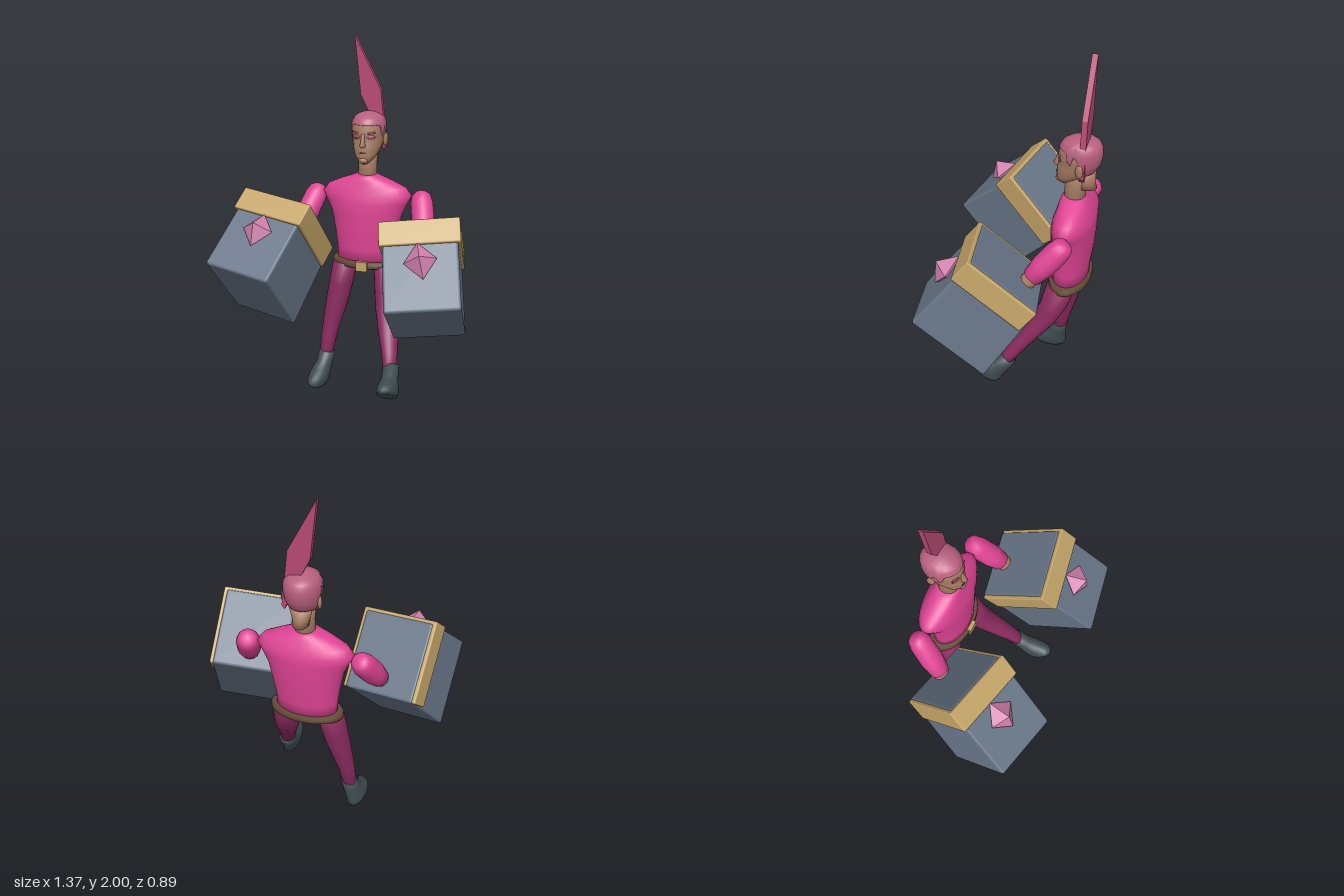
import * as THREE from 'three';
import { RoundedBoxGeometry } from 'three/addons/geometries/RoundedBoxGeometry.js';

const paint = (name, color) => {
  const m = new THREE.MeshStandardMaterial({ color });
  m.name = name;
  return m;
};

const V = (x, y, z) => new THREE.Vector3(x, y, z);

// Grid of points (rows bottom to top, wrapped around) to a smooth surface
function skinGrid(rows, n) {
  const pos = [], idx = [];
  rows.forEach(r => r.forEach(p => pos.push(p.x, p.y, p.z)));
  for (let i = 0; i < rows.length - 1; i++) {
    for (let j = 0; j < n; j++) {
      const k = (j + 1) % n;
      const a = i * n + j, b = i * n + k, c = a + n, d = b + n;
      idx.push(a, b, d, a, d, c);
    }
  }
  const g = new THREE.BufferGeometry();
  g.setAttribute('position', new THREE.Float32BufferAttribute(pos, 3));
  g.setIndex(idx);
  g.computeVertexNormals();
  return g;
}

// Stack of horizontal ellipses [cx, y, cz, halfX, halfZ], closed at both ends
function loft(rows, n = 20) {
  const first = rows[0], last = rows[rows.length - 1];
  const all = [[first[0], first[1], first[2], 0, 0], ...rows, [last[0], last[1], last[2], 0, 0]];
  return skinGrid(all.map(([cx, y, cz, hx, hz]) => Array.from({ length: n }, (_, j) => {
    const t = j / n * Math.PI * 2;
    return V(cx + hx * Math.sin(t), y, cz + hz * Math.cos(t));
  })), n);
}

// Head sections: y, front z, back z, half width
const HEAD = [
  [1.315, -0.225, -0.28, 0.018], [1.33, -0.212, -0.3, 0.036], [1.36, -0.208, -0.34, 0.06],
  [1.4, -0.208, -0.4, 0.077], [1.45, -0.218, -0.428, 0.087], [1.49, -0.214, -0.437, 0.092],
  [1.53, -0.222, -0.437, 0.09], [1.56, -0.242, -0.423, 0.077], [1.577, -0.272, -0.396, 0.055], [1.587, -0.31, -0.355, 0.02]];

function headAt(y) {
  let i = 0;
  while (i < HEAD.length - 2 && HEAD[i + 1][0] < y) i++;
  const p = HEAD[i], q = HEAD[i + 1];
  const t = THREE.MathUtils.clamp((y - p[0]) / (q[0] - p[0]), 0, 1);
  const [f, b, w] = [1, 2, 3].map(k => p[k] + (q[k] - p[k]) * t);
  return { cz: (f + b) / 2, hz: (f - b) / 2, hx: w };
}

export function createModel() {
  const model = new THREE.Group();
  model.name = 'fighter';
  const shirt = paint('shirt pink', 0xdf4494), pants = paint('trouser plum', 0x8c2c60);
  const boot = paint('boot slate', 0x3f4d50), steel = paint('gauntlet grey', 0x687688);
  const gold = paint('gold trim', 0xc4a468), leather = paint('belt brown', 0x644c38);
  const skin = paint('skin', 0xa97f66), hair = paint('hair pink', 0xb8607e);
  const crestMat = paint('crest pink', 0xb84a72), gemMat = paint('gem pink', 0xd080ac);
  gemMat.flatShading = true;

  const add = (name, geo, mat, parent = model, x = 0, y = 0, z = 0) => {
    const m = new THREE.Mesh(geo, mat);
    m.name = name;
    m.position.set(x, y, z);
    parent.add(m);
    return m;
  };
  const blob = (name, mat, x, y, z, sx, sy, sz) => {
    const m = add(name, new THREE.SphereGeometry(1, 14, 10), mat, model, x, y, z);
    m.scale.set(sx, sy, sz);
    return m;
  };

  // Torso, belt and buckle
  add('torso', loft([
    [0, 0.73, -0.3, 0.165, 0.095], [0, 0.82, -0.3, 0.17, 0.1], [0, 0.92, -0.305, 0.185, 0.11],
    [0, 1.02, -0.308, 0.205, 0.113], [0, 1.09, -0.31, 0.237, 0.112], [0, 1.135, -0.314, 0.258, 0.106],
    [0, 1.175, -0.312, 0.228, 0.09], [0, 1.21, -0.308, 0.15, 0.078], [0, 1.235, -0.305, 0.08, 0.066],
    [0, 1.247, -0.305, 0.055, 0.058]], 28), shirt);
  add('belt', loft([[0, 0.712, -0.3, 0.185, 0.098], [0, 0.72, -0.3, 0.2, 0.112], [0, 0.745, -0.3, 0.2, 0.112],
    [0, 0.755, -0.3, 0.185, 0.1]], 28), leather);
  add('buckle', new THREE.BoxGeometry(0.066, 0.055, 0.02), gold, model, 0.007, 0.732, -0.188);

  // Neck, nape and head
  add('neck', loft([[0.003, 1.2, -0.305, 0.054, 0.056], [0.003, 1.3, -0.308, 0.052, 0.056],
    [0.003, 1.4, -0.32, 0.058, 0.07]]), skin);
  add('nape', loft([[0.003, 1.305, -0.365, 0.04, 0.055], [0.003, 1.34, -0.36, 0.044, 0.05],
    [0.003, 1.4, -0.36, 0.06, 0.052]]), skin);
  const headRows = [];
  for (let i = 0; i <= 24; i++) {
    const y = 1.315 + 0.272 * i / 24, s = headAt(y);
    headRows.push([0.003, y, s.cz, s.hx, s.hz]);
  }
  add('head', loft(headRows, 28), skin);

  // Hair cap, with sideburns and a hairline that drops behind the ears
  const n = 48, hairRows = [];
  for (let i = 0; i <= 14; i++) {
    hairRows.push(Array.from({ length: n }, (_, j) => {
      const t = j / n * Math.PI * 2, c = Math.cos(t);
      const line = 1.395 + 0.135 * THREE.MathUtils.smoothstep(c, -0.45, 0.15)
        - 0.075 * Math.exp(-(((c - 0.3) / 0.14) ** 2));
      const y = line + (1.587 - line) * i / 14, s = headAt(y), g = i === 0 ? 0 : 0.005;
      return V(0.003 + (s.hx + g) * Math.sin(t), y + g * i / 14, s.cz + (s.hz + g) * c);
    }));
  }
  hairRows.push(Array.from({ length: n }, () => V(0.003, 1.594, -0.333)));
  add('hair', skinGrid(hairRows, n), hair);

  // Tall crest plate
  const crest = new THREE.Shape([[-0.085, 2], [-0.05, 1.68], [0, 1.58], [0.085, 1.38], [0.1, 1.4], [0.08, 1.57], [0.065, 1.71]]
    .map(p => new THREE.Vector2(...p)));
  add('crest', new THREE.ExtrudeGeometry(crest, { depth: 0.03, bevelEnabled: false }), crestMat, model, 0, 0, -0.372);

  // Face
  const faceZ = (x, y) => {
    const s = headAt(y);
    return s.cz + s.hz * Math.sqrt(1 - (x / s.hx) ** 2);
  };
  for (const s of [-1, 1]) {
    blob('ear', skin, 0.003 + s * 0.091, 1.44, -0.345, 0.011, 0.038, 0.022).rotation.y = -s * 0.3;
    blob('eyelid', crestMat, 0.003 + s * 0.042, 1.467, faceZ(0.042, 1.467), 0.024, 0.011, 0.005).rotation.y = s * 0.4;
    blob('pupil', boot, 0.003 + s * 0.042, 1.459, faceZ(0.042, 1.459) + 0.001, 0.014, 0.004, 0.005).rotation.y = s * 0.4;
    blob('eyebrow', hair, 0.003 + s * 0.045, 1.491, faceZ(0.045, 1.491), 0.026, 0.005, 0.005).rotation.set(0, s * 0.4, s * 0.12);
  }
  add('nose', loft([[0.003, 1.412, -0.213, 0.014, 0.014], [0.003, 1.421, -0.209, 0.017, 0.023],
    [0.003, 1.445, -0.213, 0.011, 0.015], [0.003, 1.485, -0.217, 0.009, 0.008]], 12), skin);
  blob('mouth', leather, 0.003, 1.38, faceZ(0, 1.38), 0.022, 0.004, 0.004);
  blob('chin', skin, 0.003, 1.338, -0.22, 0.026, 0.018, 0.018);

  // Legs: one planted, one swung forward
  add('leftLeg', loft([[0.235, 0.21, 0.005, 0.038, 0.042], [0.215, 0.3, -0.05, 0.045, 0.05], [0.187, 0.4, -0.12, 0.058, 0.06],
    [0.16, 0.5, -0.192, 0.068, 0.069], [0.142, 0.6, -0.243, 0.071, 0.075], [0.125, 0.73, -0.28, 0.07, 0.08]]), pants);
  add('rightLeg', loft([[-0.21, 0.16, -0.19, 0.038, 0.04], [-0.195, 0.3, -0.215, 0.047, 0.05], [-0.177, 0.4, -0.235, 0.057, 0.06],
    [-0.157, 0.5, -0.25, 0.066, 0.07], [-0.14, 0.6, -0.265, 0.07, 0.076], [-0.12, 0.73, -0.28, 0.07, 0.08]]), pants);

  // Boots
  const bootGeo = loft([[0, 0, 0.06, 0.048, 0.1], [0, 0.02, 0.06, 0.058, 0.11], [0, 0.05, 0.052, 0.056, 0.1],
    [0, 0.085, 0.028, 0.05, 0.074], [0, 0.12, 0.008, 0.046, 0.052], [0, 0.185, 0, 0.046, 0.046]]);
  add('leftBoot', bootGeo, boot, model, 0.257, 0.082, 0.085).rotation.set(-0.6, 0, 0.13);
  add('rightBoot', bootGeo, boot, model, -0.238, 0.008, -0.173).rotation.set(-0.1, 0, -0.2);

  // Arms: sleeve and bare wrist laid along a line
  const up = V(0, 1, 0);
  function arm(side, from, to) {
    const g = new THREE.Group();
    g.name = side + 'Arm';
    const dir = to.clone().sub(from), len = dir.length();
    g.position.copy(from);
    g.quaternion.setFromUnitVectors(up, dir.normalize());
    model.add(g);
    add(side + 'Sleeve', loft([[0, -0.055, 0, 0.034, 0.034], [0, -0.035, 0, 0.053, 0.053], [0, 0.01, 0, 0.063, 0.063],
      [0, len * 0.5, 0, 0.064, 0.064], [0, len * 0.86, 0, 0.052, 0.052]], 14), shirt, g);
    add(side + 'Wrist', new THREE.CylinderGeometry(0.042, 0.045, 0.1, 14), skin, g, 0, len * 0.9, 0);
  }
  arm('left', V(0.315, 1.105, -0.315), V(0.372, 0.92, -0.17));
  arm('right', V(-0.305, 1.1, -0.315), V(-0.362, 0.91, -0.16));

  // Block flaring backwards towards the fist end
  const block = new RoundedBoxGeometry(0.39, 0.495, 0.425, 2, 0.014);
  const bp = block.attributes.position;
  for (let i = 0; i < bp.count; i++) {
    if (bp.getZ(i) < 0) bp.setZ(i, bp.getZ(i) - 0.05 * (0.5 - bp.getY(i) / 0.495));
  }

  // Block gauntlets: origin at the wrist opening, fist end along "axis"
  function gauntlet(side, origin, across, axis) {
    const g = new THREE.Group();
    g.name = side + 'Gauntlet';
    const u = across.normalize(), f = axis.clone().cross(u).normalize();
    const back = f.clone().cross(u);
    g.quaternion.setFromRotationMatrix(new THREE.Matrix4().makeBasis(u, back, f));
    g.position.copy(origin);
    model.add(g);
    add('gauntletBlock', block, steel, g, 0, -0.2425, -0.0125);
    // Trim on the front and both sides
    add('frontTrim', new RoundedBoxGeometry(0.422, 0.135, 0.026, 2, 0.008), gold, g, 0, -0.067, 0.202);
    for (const s of [-1, 1]) {
      add('sideTrim', new RoundedBoxGeometry(0.026, 0.135, 0.435, 2, 0.008), gold, g, s * 0.198, -0.067, -0.006);
    }
    const gem = add('gem', new THREE.OctahedronGeometry(1), gemMat, g, 0, -0.228, 0.213);
    gem.scale.set(0.086, 0.1, 0.072);
    gem.rotation.z = 0.12;
  }
  gauntlet('left', V(0.384, 0.998, -0.063), V(0.975, 0.1, -0.2), V(0.18, -0.77, 0.6));
  gauntlet('right', V(-0.376, 1.02, -0.073), V(0.975, -0.1, 0.2), V(-0.18, -0.66, 0.73));

  return model;
}
